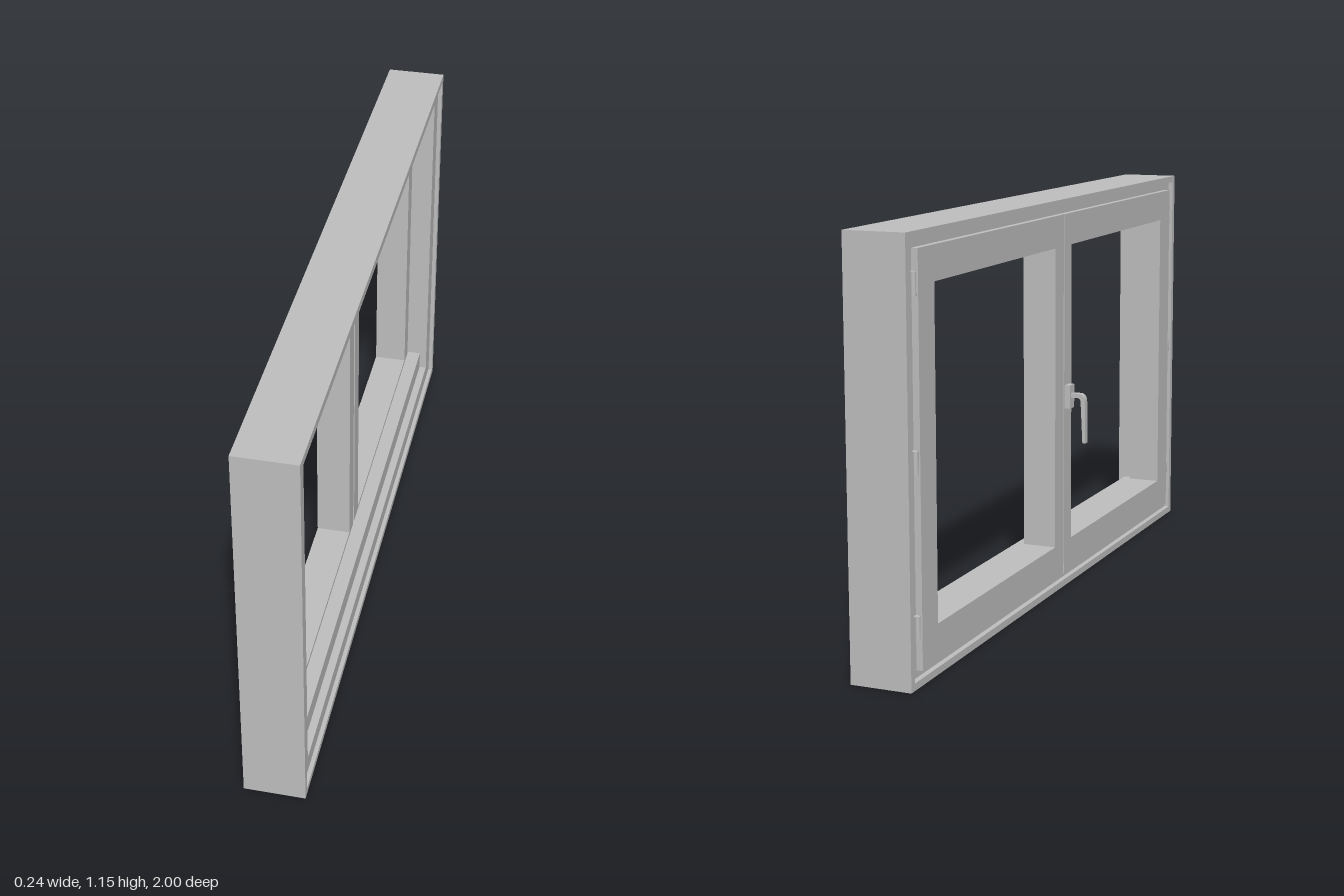
import * as THREE from 'three';

const HEIGHT = 1.155;

export function createModel() {
  const group = new THREE.Group();
  group.name = 'casementWindow';
  const grey = new THREE.MeshStandardMaterial({ color: 0xbebebe });
  grey.name = 'grey';

  const add = (name, geometry) => {
    const mesh = new THREE.Mesh(geometry, grey);
    mesh.name = name;
    group.add(mesh);
    return mesh;
  };

  const box = (name, x0, x1, y0, y1, z0, z1) =>
    add(name, new THREE.BoxGeometry(x1 - x0, y1 - y0, z1 - z0))
      .position.set((x0 + x1) / 2, (y0 + y1) / 2, (z0 + z1) / 2);

  // Outline of a rectangle [z0, z1, y0, y1]; local u runs along -z
  const trace = (path, [z0, z1, y0, y1]) => {
    path.moveTo(-z1, y0);
    path.lineTo(-z0, y0);
    path.lineTo(-z0, y1);
    path.lineTo(-z1, y1);
    path.closePath();
    return path;
  };

  // Rectangular ring standing in the yz plane, from x0 to x1
  const ring = (name, x0, x1, outer, inner) => {
    const shape = trace(new THREE.Shape(), outer);
    shape.holes.push(trace(new THREE.Path(), inner));
    const geometry = new THREE.ExtrudeGeometry(shape, { depth: x1 - x0, bevelEnabled: false });
    geometry.rotateY(Math.PI / 2).translate(x0, 0, 0);
    return add(name, geometry);
  };

  // Fixed frame: a thin full-depth rim around a slightly recessed body
  const rim = [-0.98, 0.98, 0.02, HEIGHT - 0.02];
  const opening = [-0.917, 0.917, 0.07, 1.09];
  ring('frameRim', -0.055, 0.117, [-1, 1, 0, HEIGHT], rim);
  ring('frameBody', -0.04, 0.105, rim, opening);

  // Weather bars across the outside, above and below the sashes
  box('lowerWeatherBar', 0.035, 0.083, 0.07, 0.128, -0.917, 0.917);
  box('upperWeatherBar', 0.035, 0.083, 1.022, 1.09, -0.917, 0.917);

  // Two sashes: deep body plus an inner flange that overlaps the frame
  const sashes = [
    { name: 'leftSash', body: [0.01, 0.907], flange: [0.009, 0.94], hole: [0.065, 0.85] },
    { name: 'rightSash', body: [-0.907, -0.004], flange: [-0.94, 0.004], hole: [-0.85, -0.06] },
  ];
  for (const { name, body, flange, hole } of sashes) {
    const inner = [...hole, 0.139, 1.02];
    ring(name + 'Body', -0.04, 0.041, [...body, 0.08, 1.08], inner);
    ring(name + 'Flange', -0.058, -0.04, [...flange, 0.04, 1.112], inner);
  }
  // Seals closing the gaps between sashes and around their edges
  box('meetingSeal', -0.04, 0.022, 0.08, 1.08, -0.006, 0.012);
  ring('edgeSeal', -0.04, 0.0, opening, [-0.9, 0.9, 0.085, 1.075]);

  // Three hinges along each outer edge
  for (const side of [-1, 1]) {
    for (const y of [0.156, 0.58, 1.026]) {
      box('hingeLeaf', -0.046, -0.04, y - 0.03, y + 0.03, side * 0.955 - 0.015, side * 0.955 + 0.015);
      const pin = add('hingePin', new THREE.CylinderGeometry(0.007, 0.007, 0.06, 12));
      pin.position.set(-0.05, y, side * 0.95);
    }
  }

  // Handle: base plate and a bent tapering lever
  box('handlePlate', -0.075, -0.058, 0.542, 0.611, 0.013, 0.046);
  const lever = new THREE.Shape();
  lever.moveTo(-0.07, 0.587);
  lever.lineTo(-0.1, 0.587);
  lever.quadraticCurveTo(-0.119, 0.586, -0.119, 0.562);
  lever.lineTo(-0.12, 0.44);
  lever.lineTo(-0.111, 0.44);
  lever.lineTo(-0.105, 0.562);
  lever.quadraticCurveTo(-0.104, 0.574, -0.096, 0.574);
  lever.lineTo(-0.07, 0.574);
  lever.closePath();
  const leverGeometry = new THREE.ExtrudeGeometry(lever, { depth: 0.018, bevelEnabled: false, curveSegments: 8 });
  add('handleLever', leverGeometry.translate(0, 0, 0.0205));

  return group;
}
